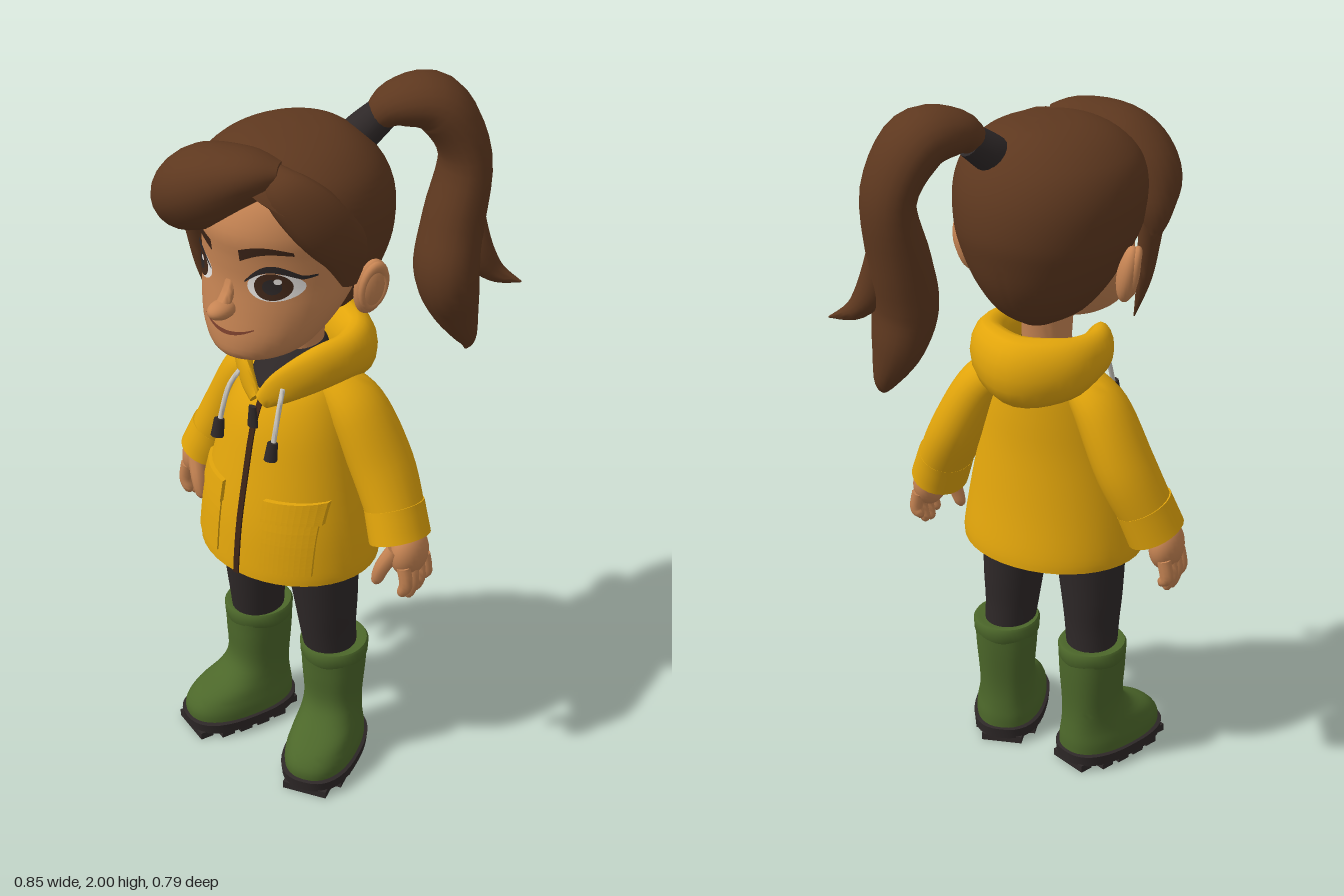
import * as THREE from 'three';
import { toCreasedNormals } from 'three/addons/utils/BufferGeometryUtils.js';

const mat = (name, color, side = THREE.FrontSide) => {
  const m = new THREE.MeshStandardMaterial({ color, side });
  m.name = name;
  return m;
};

// Catmull-Rom refinement of rows of numbers
function dense(rows, k) {
  const out = [], n = rows.length;
  for (let i = 0; i < n - 1; i++) for (let j = 0; j < k; j++) {
    const t = j / k, R = [rows[Math.max(i - 1, 0)], rows[i], rows[i + 1], rows[Math.min(i + 2, n - 1)]];
    out.push(rows[i].map((_, c) => {
      const [a, b, d, e] = R.map(r => r[c]);
      return 0.5 * (2 * b + (d - a) * t + (2 * a - 5 * b + 4 * d - e) * t * t + (3 * b - a - 3 * d + e) * t ** 3);
    }));
  }
  out.push(rows[n - 1]);
  return out;
}

// Surface from a grid of points, closed around j if wanted
function grid(P, ni, nj, closed) {
  const pos = [], idx = [];
  for (let i = 0; i < ni; i++) for (let j = 0; j < nj; j++) pos.push(...P(i, j));
  for (let i = 0; i < ni - 1; i++) for (let j = 0; j < (closed ? nj : nj - 1); j++) {
    const k = (j + 1) % nj, a = i * nj + j, b = i * nj + k, c = a + nj, d = b + nj;
    idx.push(a, b, c, b, d, c);
  }
  const g = new THREE.BufferGeometry();
  g.setAttribute('position', new THREE.Float32BufferAttribute(pos, 3));
  g.setIndex(idx);
  return toCreasedNormals(g, 0.9);
}

// Upright loft; rows are [y, half width, front z, back z, front opening angle]
function loft(rows, k = 4, e = 1, seg = 40) {
  const R = dense(rows, k), open = rows[0].length > 4;
  const pw = v => Math.sign(v) * Math.abs(v) ** e;
  return grid((i, j) => {
    const [y, rx, zf, zb, o = 0] = R[i];
    const gap = Math.max(o, 0), t = gap + (2 * Math.PI - 2 * gap) * j / (open ? seg - 1 : seg);
    const f = gap > 0.01 && (j === 0 || j === seg - 1) ? 0.9 : 1;
    return [Math.max(rx, 0) * f * pw(Math.sin(t)), y, (zf + zb) / 2 + (zf - zb) / 2 * f * pw(Math.cos(t))];
  }, R.length, seg, !open);
}

// Front depth of such a loft at (x, y)
function frontOf(rows, k = 4) {
  const R = dense(rows, k);
  return (x, y) => {
    let i = 0;
    while (i < R.length - 2 && R[i + 1][0] < y) i++;
    const t = THREE.MathUtils.clamp((y - R[i][0]) / (R[i + 1][0] - R[i][0]), 0, 1);
    const [, rx, zf, zb] = R[i].map((v, c) => v + (R[i + 1][c] - v) * t);
    return (zf + zb) / 2 + (zf - zb) / 2 * Math.sqrt(Math.max(0, 1 - (x / rx) ** 2));
  };
}

// Elliptical tube; points are [x, y, z, radius along side, other radius]
function sweep(pts, side, k = 5, seg = 16) {
  const R = dense(pts, k), n = R.length, S = new THREE.Vector3(...side);
  const V = r => new THREE.Vector3(r[0], r[1], r[2]);
  const rings = R.map((r, i) => {
    const t = V(R[Math.min(i + 1, n - 1)]).sub(V(R[Math.max(i - 1, 0)])).normalize();
    const s = S.clone().addScaledVector(t, -S.dot(t)).normalize();
    return { p: V(r), s, n: t.clone().cross(s), a: Math.max(r[3], 0), b: Math.max(r[4], 0) };
  });
  const all = [{ ...rings[0], a: 0, b: 0 }, ...rings, { ...rings[n - 1], a: 0, b: 0 }];
  return grid((i, j) => {
    const q = all[i], t = 2 * Math.PI * j / seg;
    return q.p.clone().addScaledVector(q.s, q.a * Math.cos(t)).addScaledVector(q.n, q.b * Math.sin(t)).toArray();
  }, n + 2, seg, true);
}

// Lay a flat geometry onto a front surface
function wrap(g, surf, lift = 0) {
  const p = g.attributes.position;
  for (let i = 0; i < p.count; i++) p.setZ(i, p.getZ(i) + surf(p.getX(i), p.getY(i)) + lift);
  g.computeVertexNormals();
  return g;
}

// Thin curved band across a surface, mirrored by s
function band(s, x0, x1, yf, hf, surf, lift) {
  const g = new THREE.PlaneGeometry(1, 1, 14, 2), p = g.attributes.position;
  for (let i = 0; i < p.count; i++) {
    const u = s > 0 ? p.getX(i) + 0.5 : 0.5 - p.getX(i);
    p.setXY(i, s * (x0 + (x1 - x0) * u), yf(u) + p.getY(i) * hf(u));
  }
  return wrap(g, surf, lift);
}

export function createModel() {
  const root = new THREE.Group();
  const hair = mat('hair brown', 0x5e381f, THREE.DoubleSide), skin = mat('skin', 0xc68453);
  const yellow = mat('raincoat yellow', 0xe2a50b, THREE.DoubleSide), green = mat('boot green', 0x4c672a);
  const dark = mat('charcoal', 0x2e2828), white = mat('eye white', 0xe8e4e0), iris = mat('iris brown', 0x42281a);
  const cord = mat('cord grey', 0xc8c4bc), brown = mat('dark brown', 0x3c2417), lip = mat('lip', 0x7d412d);
  const add = (name, g, m, parent = root) => {
    const o = new THREE.Mesh(g, m);
    o.name = name;
    parent.add(o);
    return o;
  };
  const ball = (x, y, z, a, b, c) => new THREE.SphereGeometry(1, 24, 16).scale(a, b, c).translate(x, y, z);

  // Head, neck and nose
  const headRows = [[1.355, .03, .25, .13], [1.37, .105, .318, .08], [1.42, .156, .33, .03], [1.5, .192, .322, -.05],
    [1.58, .203, .315, -.11], [1.65, .207, .32, -.14], [1.72, .205, .325, -.14], [1.8, .18, .285, -.11], [1.86, .09, .2, -.03]];
  const face = frontOf(headRows);
  add('head', loft(headRows), skin);
  add('neck', loft([[1.2, .075, .13, -.02], [1.3, .067, .115, -.02], [1.42, .07, .13, -.03]]), skin);
  add('nose', ball(0, 1.513, .342, .031, .024, .043), skin);
  add('noseBridge', sweep([[0, 1.6, .298, .016, .012], [0, 1.555, .315, .018, .014], [0, 1.515, .345, .02, .018]], [1, 0, 0]), skin);
  add('mouth', band(1, -.08, .08, u => 1.447 + .022 * (2 * u - 1) ** 2, u => .003 + .008 * Math.sin(Math.PI * u), face, .005), lip);

  // Eyes, brows and ears
  const disc = (x, y, a, b, lift) =>
    wrap(new THREE.RingGeometry(0, 1, 28, 4).scale(a, b, 1).translate(x, y, 0), face, lift);
  for (const s of [1, -1]) {
    add('eyeWhite', disc(s * .115, 1.588, .057, .038, .004), white);
    add('iris', disc(s * .115, 1.59, .039, .037, .006), iris);
    add('pupil', disc(s * .115, 1.59, .02, .021, .007), dark);
    add('eyeGlint', disc(s * .115 + .013, 1.606, .008, .008, .009), white);
    add('eyelash', band(s, .055, .188, u => 1.6 + .034 * Math.sin(Math.PI * Math.min(u * 1.15, 1)) + .014 * u,
      u => .005 + .014 * Math.sin(Math.PI * u), face, .009), dark);
    add('eyebrow', band(s, .045, .158, u => 1.67 + .02 * Math.sin(Math.PI * u * .85), u => .032 * (1 - .7 * u), face, .007), brown);
    const ear = new THREE.Group();
    ear.name = 'ear';
    ear.position.set(s * .238, 1.54, .05);
    ear.rotation.set(-.12, -s * .45, -s * .2);
    root.add(ear);
    add('earShell', ball(0, 0, 0, .03, .08, .044), skin, ear);
    add('earRim', new THREE.TorusGeometry(1, .3, 10, 24).rotateY(Math.PI / 2).scale(.04, .056, .031).translate(s * .014, .01, 0), skin, ear);
  }

  // Hair
  add('hairCap', loft([[1.385, .05, .08, -.05, 1.6], [1.43, .125, .17, -.115, 1.6], [1.51, .192, .27, -.165, 1.6],
    [1.6, .233, .31, -.193, 1.45], [1.66, .247, .33, -.203, 1.2], [1.73, .254, .335, -.197, .9], [1.79, .245, .325, -.177, .5],
    [1.84, .217, .295, -.145, 0], [1.885, .162, .235, -.098, 0], [1.912, .09, .16, -.045, 0], [1.922, 0, .052, .05, 0]]), hair);
  add('sweptFringe', sweep([[.09, 1.86, .21, .05, .03], [.02, 1.845, .24, .1, .07], [-.09, 1.8, .265, .125, .105],
    [-.18, 1.74, .235, .115, .097], [-.228, 1.67, .185, .065, .066], [-.243, 1.61, .16, .02, .03]], [0, .2, 1], 5, 24), hair);
  add('sideLock', sweep([[-.238, 1.7, .18, .03, .05], [-.24, 1.6, .165, .024, .036], [-.232, 1.49, .155, .016, .024],
    [-.208, 1.38, .15, .002, .002]], [1, 0, .4]), hair);
  add('sideFringe', sweep([[.07, 1.86, .22, .03, .03], [.125, 1.83, .235, .04, .06], [.185, 1.765, .2, .036, .075],
    [.222, 1.67, .14, .026, .065], [.215, 1.56, .105, .008, .02]], [1, 0, .7]), hair);

  // Ponytail with its band
  const tail = [.8, 0, .6];
  add('hairBand', sweep([[.055, 1.82, -.07, .05, .05], [.078, 1.86, -.11, .05, .05], [.105, 1.9, -.155, .044, .044]], tail), dark);
  add('ponytail', sweep([[.09, 1.875, -.13, .03, .03], [.128, 1.925, -.175, .075, .055], [.195, 1.915, -.265, .105, .075],
    [.25, 1.78, -.315, .105, .066], [.245, 1.6, -.283, .105, .08], [.25, 1.47, -.255, .11, .085],
    [.26, 1.36, -.28, .085, .068], [.287, 1.26, -.305, .035, .03], [.292, 1.225, -.3, .003, .003]], tail, 5, 20), hair);
  add('ponytailFlick', sweep([[.27, 1.66, -.29, .03, .05], [.3, 1.54, -.3, .045, .05], [.345, 1.465, -.335, .03, .03],
    [.41, 1.44, -.37, .002, .002]], tail), hair);

  // Raincoat body, inside and shirt
  const coatRows = [[.69, .262, .312, -.132], [.73, .262, .309, -.128], [.85, .245, .294, -.105], [1, .212, .262, -.085],
    [1.12, .18, .232, -.078], [1.2, .145, .19, -.07], [1.24, .11, .13, -.05]];
  const coat = frontOf(coatRows);
  add('coatBody', loft(coatRows), yellow);
  add('coatInside', loft([[.8, .01, .1, .08], [.8, .22, .26, -.08], [.69, .262, .312, -.132]], 1), yellow);
  add('shirt', loft([[1.15, .12, .17, -.04], [1.2, .115, .187, -.04], [1.25, .1, .158, -.035], [1.3, .078, .122, -.03],
    [1.315, .064, .1, -.02]]), dark);

  // Hood folded around the neck
  const half = [[.012, 1.19, .211, .024, .013], [.07, 1.245, .182, .05, .02], [.128, 1.29, .115, .064, .034],
    [.15, 1.3, .03, .066, .045], [.112, 1.285, -.055, .088, .057]];
  add('hood', sweep([...half, [0, 1.272, -.105, .1, .067], ...half.map(([x, ...r]) => [-x, ...r]).reverse()], [0, 1, 0]), yellow);

  // Zip
  const plate = (name, m, x, y, w, h, d) => {
    const g = wrap(new THREE.BoxGeometry(w, h, d, 10, 12, 1).translate(x, y, 0), coat).toNonIndexed();
    g.computeVertexNormals();
    add(name, g, m);
  };
  plate('zip', brown, 0, .943, .017, .506, .009);
  add('zipPull', new THREE.CylinderGeometry(.012, .018, .06, 8).scale(1, 1, .6).translate(0, 1.15, .235), dark);

  for (const s of [1, -1]) {
    // Pockets and drawstrings
    plate('pocket', yellow, s * .138, .8, .125, .15, .012);
    plate('pocketFlap', yellow, s * .14, .907, .138, .06, .028);
    add('drawstring', sweep([[s * .075, 1.245, .2, .007, .007], [s * .088, 1.2, .232, .007, .007],
      [s * .093, 1.11, .262, .007, .007]], [1, 0, 0], 5, 8), cord);
    add('toggle', new THREE.CylinderGeometry(.014, .018, .05, 8).rotateX(-.2).translate(s * .093, 1.095, .268), dark);

    // Sleeve and cuff
    add('sleeve', sweep([[s * .1, 1.22, .04, .06, .05], [s * .18, 1.15, .025, .088, .07], [s * .26, 1, .015, .095, .077],
      [s * .325, .87, .03, .084, .073]], [0, 0, 1], 6, 24), yellow);
    add('cuff', sweep([[s * .312, .9, .026, .088, .077], [s * .345, .815, .04, .09, .079]], [0, 0, 1], 3, 24), yellow);

    // Hand
    add('palm', ball(s * .378, .783, .04, .046, .07, .062), skin);
    for (let i = 0; i < 4; i++) {
      const z = -.004 + .029 * i, low = [.68, .655, .648, .665][i];
      add('finger', sweep([[s * .392, .76, z, .018, .02], [s * .402, .71, z, .018, .019], [s * .39, low + .012, z, .015, .015],
        [s * .385, low, z, .006, .006]], [0, 0, 1], 4, 10), skin);
    }
    add('thumb', sweep([[s * .36, .8, .08, .024, .024], [s * .334, .745, .1, .021, .021], [s * .32, .7, .105, .016, .016],
      [s * .318, .685, .105, .005, .005]], [0, 0, 1], 4, 10), skin);

    // Leg
    add('leg', sweep([[s * .105, .82, .09, .11, .1], [s * .118, .68, .09, .104, .098], [s * .128, .54, .085, .093, .086],
      [s * .132, .44, .08, .083, .076], [s * .138, .34, .07, .075, .07]], [0, 0, 1], 5, 24), dark);

    // Boot with treaded sole
    const boot = new THREE.Group();
    boot.name = 'boot';
    boot.position.set(s * .142, 0, .065);
    boot.rotation.y = s * .33;
    root.add(boot);
    add('bootUpper', loft([[.04, .098, .238, -.095], [.08, .098, .238, -.095], [.12, .09, .205, -.09], [.16, .082, .13, -.086],
      [.21, .08, .092, -.086], [.3, .087, .092, -.092], [.355, .09, .094, -.094]], 4, .85), green, boot);
    add('bootRim', loft([[.34, .088, .092, -.092], [.352, .095, .098, -.098], [.384, .097, .1, -.1], [.392, .092, .095, -.095],
      [.392, .08, .083, -.083], [.37, .01, .01, -.01]], 1), green, boot);
    add('sole', loft([[.018, .01, .08, .06], [.018, .104, .245, -.1], [.05, .107, .249, -.103], [.054, .09, .23, -.09]], 1, .8), dark, boot);
    for (let i = 0; i < 6; i++) {
      const w = [.12, .18, .19, .19, .18, .13][i];
      add('tread', new THREE.BoxGeometry(w, .022, .04).translate(0, .011, -.072 + .058 * i), dark, boot);
    }
  }
  add('hips', ball(0, .83, .09, .2, .13, .125), dark);
  return root;
}
